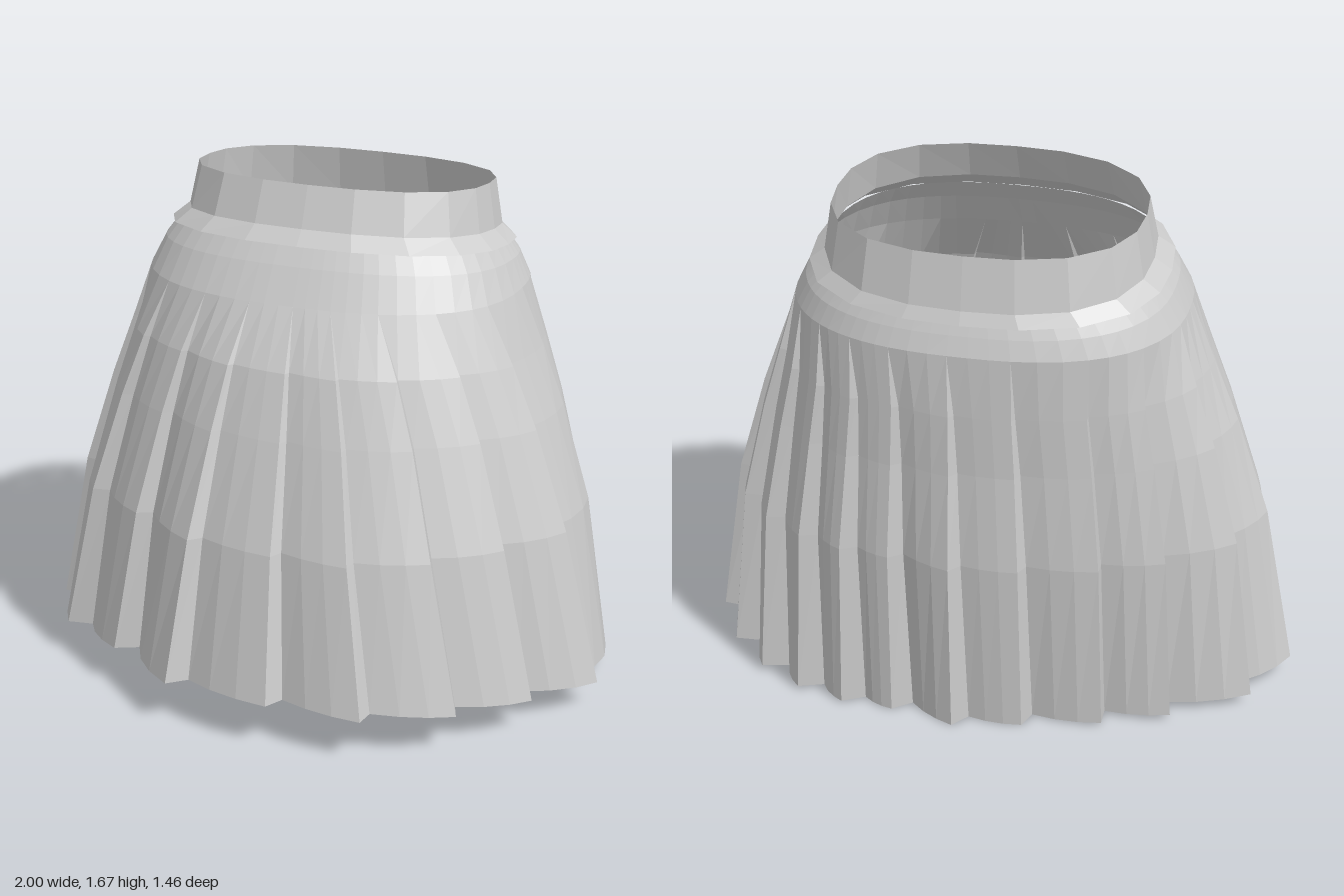
import * as THREE from 'three';

const lerp = THREE.MathUtils.lerp;

// Ring levels: [y front, y back, half width, z front, z back, squareness, pleat depth]
const SKIRT = [
  [1.51, 1.405, 0.54, 0.172, -0.632, 2.5, 0],
  [1.44, 1.36, 0.583, 0.22, -0.65, 2.5, 0],
  [1.33, 1.30, 0.625, 0.285, -0.67, 2.45, 0],
  [1.15, 1.10, 0.695, 0.405, -0.685, 2.3, 0.03],
  [0.95, 0.90, 0.775, 0.49, -0.695, 2.2, 0.045],
  [0.62, 0.58, 0.885, 0.62, -0.725, 2.1, 0.06],
  [0.155, 0.0, 1.0, 0.735, -0.725, 2, 0.08],
];
const BAND = [
  [1.675, 1.60, 0.49, 0.10, -0.60, 2.5],
  [1.545, 1.435, 0.515, 0.155, -0.633, 2.5],
  [1.50, 1.395, 0.568, 0.20, -0.652, 2.5],
];

// Outer fold of each pleat at the hem, [x, z], running round from the front
const FOLDS = [
  [0.10, 0.73], [0.41, 0.71], [0.67, 0.54], [0.85, 0.31], [1.0, 0.06], [0.94, -0.28], [0.84, -0.46],
  [0.71, -0.58], [0.56, -0.66], [0.40, -0.70], [0.23, -0.70], [0.02, -0.74], [-0.20, -0.69],
  [-0.45, -0.63], [-0.66, -0.55], [-0.90, -0.40], [-1.0, -0.18], [-0.93, 0.07], [-0.78, 0.35],
  [-0.53, 0.51], [-0.26, 0.70],
];

// A point on the tilted, slightly squared ellipse of one level
function ringPoint([yF, yB, hx, zF, zB, n], angle, r = 1) {
  const sin = Math.sin(angle), cos = Math.cos(angle);
  const f = (Math.abs(sin) ** n + Math.abs(cos) ** n) ** (-1 / n);
  return [
    hx * sin * f * r,
    lerp(yB, yF, (cos * f + 1) / 2),
    (zF + zB) / 2 + ((zF - zB) / 2) * cos * f * r,
  ];
}

// Skin closed rings listed from top to bottom
function loft(rings) {
  const n = rings[0].length;
  const index = [];
  for (let i = 0; i < rings.length - 1; i++) {
    for (let j = 0; j < n; j++) {
      const a = i * n + j, b = i * n + ((j + 1) % n);
      index.push(a, a + n, b, b, a + n, b + n);
    }
  }
  const geo = new THREE.BufferGeometry();
  geo.setAttribute('position', new THREE.Float32BufferAttribute(rings.flat(2), 3));
  geo.setIndex(index);
  const flat = geo.toNonIndexed();
  flat.computeVertexNormals();
  return flat;
}

// Each pleat rises slowly to its fold, then steps sharply inward
function pleatRing(level) {
  const depth = level[6], fade = depth / 0.08;
  const tips = FOLDS.map(([x, z]) => {
    const angle = Math.atan2(x, z / 0.735);
    return {
      angle: angle < 0 ? angle + Math.PI * 2 : angle,
      r: lerp(1, Math.hypot(x, z / 0.735), fade),
    };
  });
  const ring = [];
  tips.forEach((tip, i) => {
    const next = tips[(i + 1) % tips.length];
    const end = next.angle + (next.angle < tip.angle ? Math.PI * 2 : 0);
    const start = tip.angle + 0.045 * fade;
    for (let k = 0; k <= 3; k++) {
      const s = k / 3;
      const r = lerp(tip.r - depth, next.r, s) + Math.sin(s * Math.PI) * depth * 0.12;
      // Folds hang straight down although the waist sits further back than the hem
      const angle = lerp(start, end, s);
      const hang = (0.36 * Math.sin(angle) + 0.03) * (1 - fade);
      ring.push(ringPoint(level, angle - hang, r));
    }
  });
  return ring;
}

function bandRing(level) {
  const sides = 20;
  return Array.from({ length: sides }, (_, i) => ringPoint(level, (i / sides) * Math.PI * 2));
}

export function createModel() {
  const group = new THREE.Group();
  group.name = 'pleatedSkirt';

  const cloth = new THREE.MeshStandardMaterial({ color: 0xcccccc, side: THREE.DoubleSide, flatShading: true });
  cloth.name = 'light grey cloth';

  const add = (name, geometry) => {
    const mesh = new THREE.Mesh(geometry, cloth);
    mesh.name = name;
    group.add(mesh);
  };

  // Waistband with a flared lip that covers the top of the yoke
  add('waistband', loft(BAND.map(bandRing)));
  // Smooth yoke opening into knife pleats
  add('pleatedPanel', loft(SKIRT.map(pleatRing)));
  return group;
}
